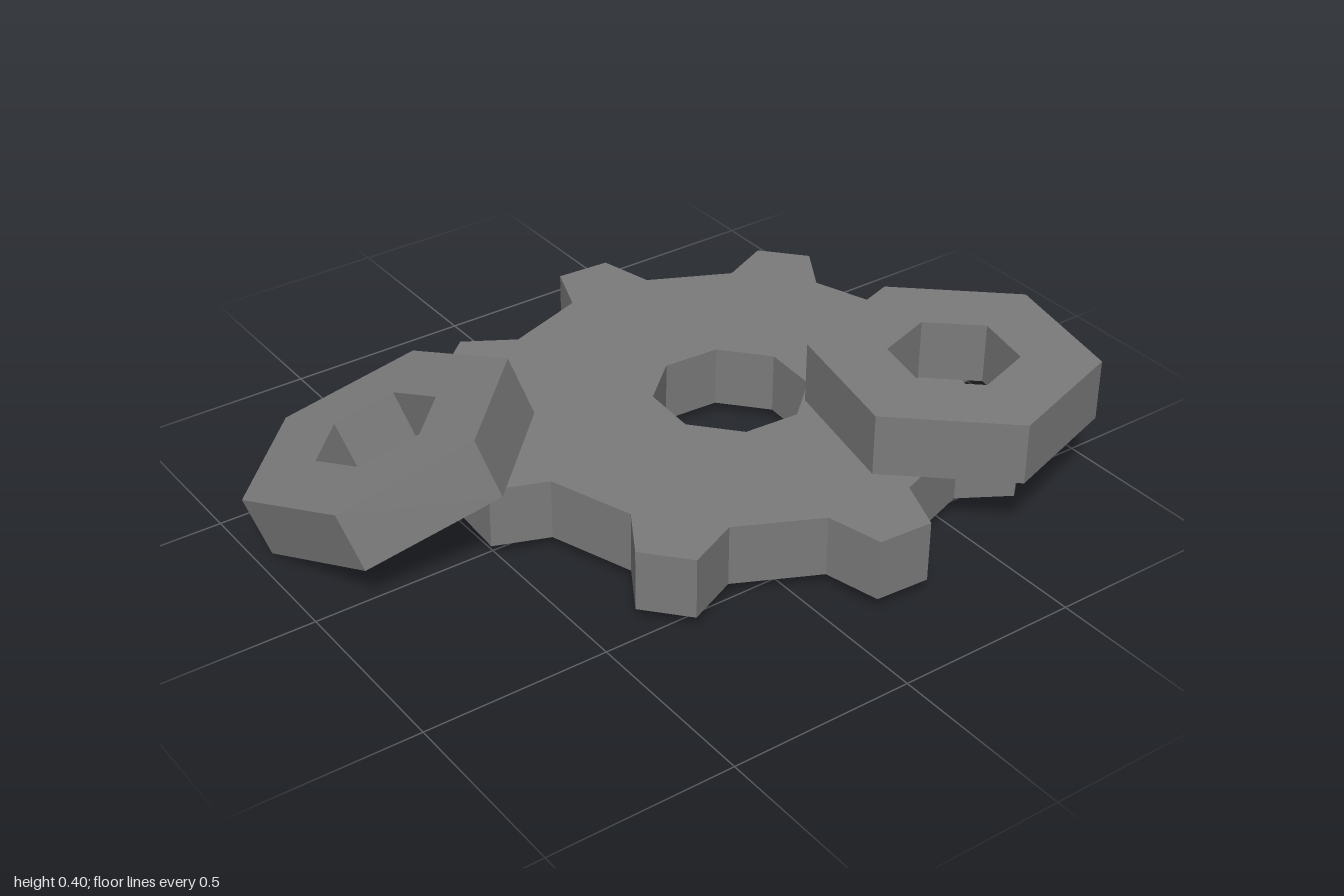
import * as THREE from 'three';

const THICK = 0.168;
const material = new THREE.MeshStandardMaterial({ color: 0x7b7b7b, flatShading: true });

const polar = (r, deg) => {
  const a = THREE.MathUtils.degToRad(deg);
  return new THREE.Vector2(r * Math.cos(a), r * Math.sin(a));
};

// regular polygon outline, first corner at the given angle
const polygon = (sides, r, start = 0) =>
  Array.from({ length: sides }, (_, i) => polar(r, start + (i * 360) / sides));

// flat plate with a hole, lying in xz and standing on y = 0
function plate(name, outline, hole) {
  const shape = new THREE.Shape(outline);
  shape.holes.push(new THREE.Path(hole));
  const geometry = new THREE.ExtrudeGeometry(shape, { depth: THICK, bevelEnabled: false });
  geometry.rotateX(Math.PI / 2).translate(0, THICK, 0);
  const mesh = new THREE.Mesh(geometry, material);
  mesh.name = name;
  return mesh;
}

// gear outline: tapered teeth rising from the root circle
function gearOutline(teeth, root, tip) {
  const pitch = 360 / teeth;
  const points = [];
  for (let i = 0; i < teeth; i++) {
    const a = i * pitch;
    points.push(
      polar(root, a - pitch / 4), polar(tip, a - pitch / 8),
      polar(tip, a + pitch / 8), polar(root, a + pitch / 4));
  }
  return points;
}

const hexNut = (name) => plate(name, polygon(6, 0.371), polygon(6, 0.168));

export function createModel() {
  const group = new THREE.Group();
  group.name = 'gearAndNuts';

  // eight-toothed gear
  const gear = plate('gear', gearOutline(8, 0.62, 0.76), polygon(8, 0.205, 22.5));
  gear.position.set(-0.004, 0.036, -0.241);
  gear.rotation.y = THREE.MathUtils.degToRad(-3.5);

  // nut lying flat on the gear
  const flatNut = hexNut('flatNut');
  flatNut.position.set(0.397, 0.204, -0.642);
  flatNut.rotation.y = THREE.MathUtils.degToRad(-12);

  // nut leaning against the gear's edge
  const leaningNut = hexNut('leaningNut');
  const up = new THREE.Vector3(-0.253, 0.927, 0.275).normalize();
  const side = new THREE.Vector3(0.926, 0.315, -0.213).projectOnPlane(up).normalize();
  const forward = new THREE.Vector3().crossVectors(side, up);
  leaningNut.quaternion.setFromRotationMatrix(new THREE.Matrix4().makeBasis(side, up, forward));
  leaningNut.position.set(-0.271, 0.28, 0.659).addScaledVector(up, -THICK);

  group.add(gear, flatNut, leaningNut);
  return group;
}
